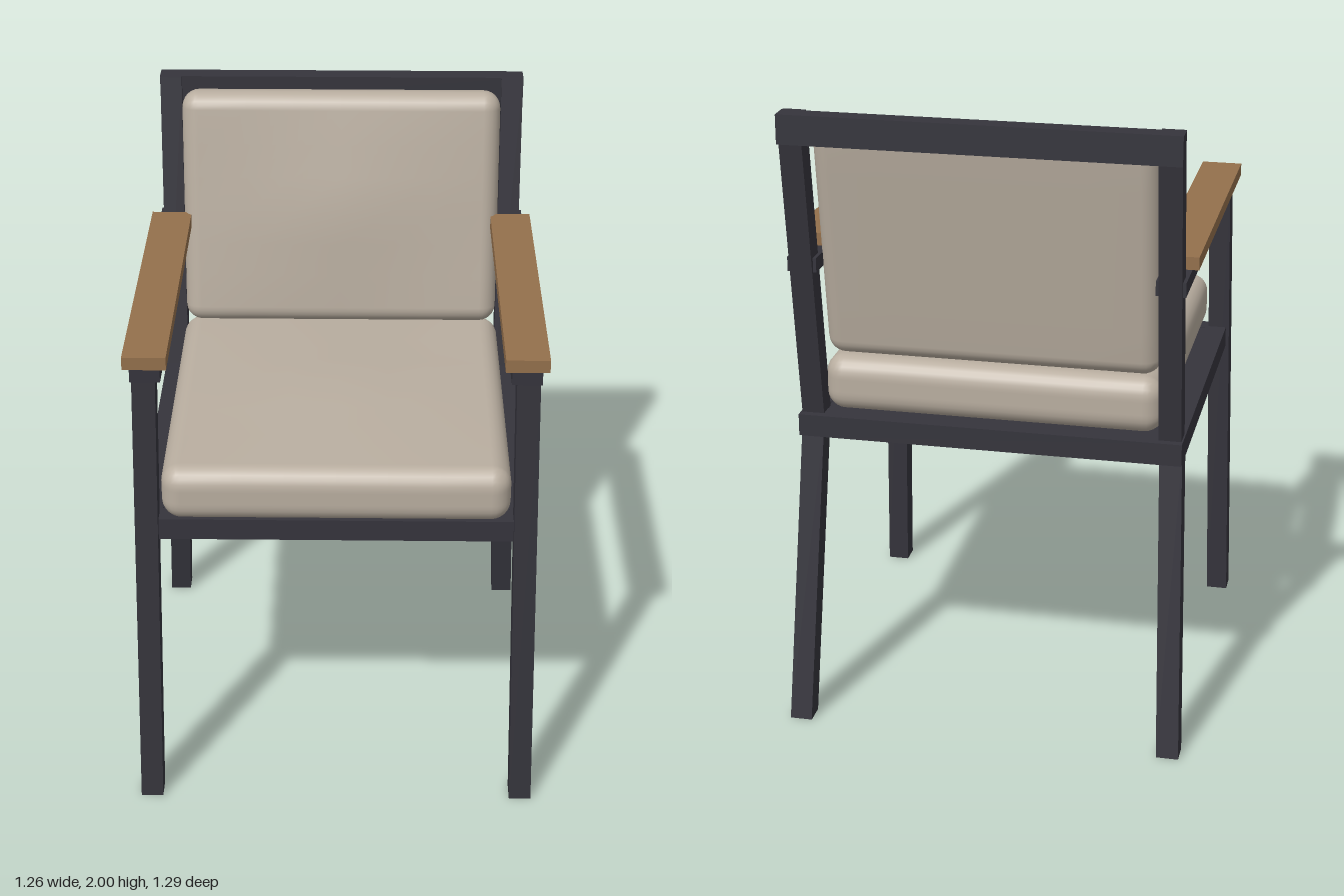
import * as THREE from 'three';
import { mergeVertices } from 'three/addons/utils/BufferGeometryUtils.js';

const material = (name, color) => {
  const m = new THREE.MeshStandardMaterial({ color });
  m.name = name;
  return m;
};

// Rounded, softly crowned pad; the crown rises on its +y face.
function cushionGeometry(w, h, d, r, crown) {
  const inner = [w / 2 - r, h / 2 - r, d / 2 - r];
  let g = new THREE.BoxGeometry(2, 2, 2, 12, 12, 12);
  g.deleteAttribute('uv');
  g.deleteAttribute('normal');
  const pos = g.attributes.position;
  const p = new THREE.Vector3(), core = new THREE.Vector3();
  for (let i = 0; i < pos.count; i++) {
    p.fromBufferAttribute(pos, i);
    for (let a = 0; a < 3; a++) {
      const t = p.getComponent(a), k = Math.abs(t) * 6, s = Math.sign(t);
      // Inner three steps span the flat part, outer three the rounded edge.
      const c = inner[a] * Math.min(k / 3, 1);
      const e = k > 3 ? r * Math.tan(((k - 3) / 3) * Math.PI / 4) : 0;
      core.setComponent(a, s * c);
      p.setComponent(a, s * e);
    }
    p.setLength(r).add(core);
    if (p.y > 0) {
      const fx = Math.max(0, 1 - Math.abs(p.x) / inner[0]);
      const fz = Math.max(0, 1 - Math.abs(p.z) / inner[2]);
      p.y += crown * fx * fz;
    }
    pos.setXYZ(i, p.x, p.y, p.z);
  }
  g = mergeVertices(g, 1e-5);
  g.computeVertexNormals();
  return g;
}

// Square bar between two points, with level ends.
function leaningBar(a, b, size) {
  const g = new THREE.BoxGeometry(size, 1, size);
  const pos = g.attributes.position;
  for (let i = 0; i < pos.count; i++) {
    const end = pos.getY(i) < 0 ? a : b;
    pos.setXYZ(i, pos.getX(i) + end[0], end[1], pos.getZ(i) + end[2]);
  }
  g.computeVertexNormals();
  return g;
}

// Box given by its lowest and highest corners.
function boxBetween(lo, hi) {
  const g = new THREE.BoxGeometry(hi[0] - lo[0], hi[1] - lo[1], hi[2] - lo[2]);
  return g.translate((lo[0] + hi[0]) / 2, (lo[1] + hi[1]) / 2, (lo[2] + hi[2]) / 2);
}

export function createModel() {
  const group = new THREE.Group();
  group.name = 'armchair';
  const metal = material('charcoal metal', 0x35343c);
  const fabric = material('beige fabric', 0xb9aea0);
  const wood = material('brown wood', 0x94704c);

  const add = (name, geometry, mat) => {
    const mesh = new THREE.Mesh(geometry, mat);
    mesh.name = name;
    group.add(mesh);
    return mesh;
  };

  // Legs, back posts and arms, mirrored
  for (const [side, s] of [['left', 1], ['right', -1]]) {
    const bar = (name, a, b) =>
      add(side + name, leaningBar([s * a[0], a[1], a[2]], [s * b[0], b[1], b[2]], 0.07), metal);
    bar('FrontLeg', [0.595, 0, 0.615], [0.566, 1.5, 0.56]);
    bar('BackLeg', [0.595, 0, -0.6], [0.563, 0.97, -0.461]);
    bar('BackPost', [0.56, 0.96, -0.457], [0.56, 2, -0.607]);

    const armRail = boxBetween([-0.045, 1.495, -0.56], [0.045, 1.54, 0.605]);
    add(side + 'ArmRail', armRail.translate(s * 0.56, 0, 0), metal);
    const armrest = boxBetween([-0.065, 1.54, -0.435], [0.065, 1.58, 0.613]);
    add(side + 'Armrest', armrest.translate(s * 0.56, 0, 0), wood);
    add(side + 'SeatRail', boxBetween([-0.035, 0.945, -0.525], [0.035, 1.015, 0.59])
      .translate(s * 0.565, 0, 0), metal);
  }

  // Cross rails and the panel under the seat
  add('frontSeatRail', boxBetween([-0.53, 0.945, 0.53], [0.53, 1.015, 0.59]), metal);
  add('backSeatRail', boxBetween([-0.53, 0.945, -0.525], [0.53, 1.015, -0.455]), metal);
  add('seatPanel', boxBetween([-0.53, 0.947, -0.455], [0.53, 1.013, 0.53]), metal);
  add('topRail', boxBetween([-0.597, 1.91, -0.645], [0.597, 2, -0.583]), metal);

  // Cushions
  const seat = add('seatCushion', cushionGeometry(1.06, 0.18, 1.1, 0.06, 0.026), fabric);
  seat.position.set(0, 1.104, 0.065);
  const back = add('backCushion', cushionGeometry(1.04, 0.125, 0.78, 0.055, 0.024), fabric);
  back.position.set(0, 1.59, -0.468);
  back.rotation.x = Math.PI / 2 - 0.147;

  return group;
}
